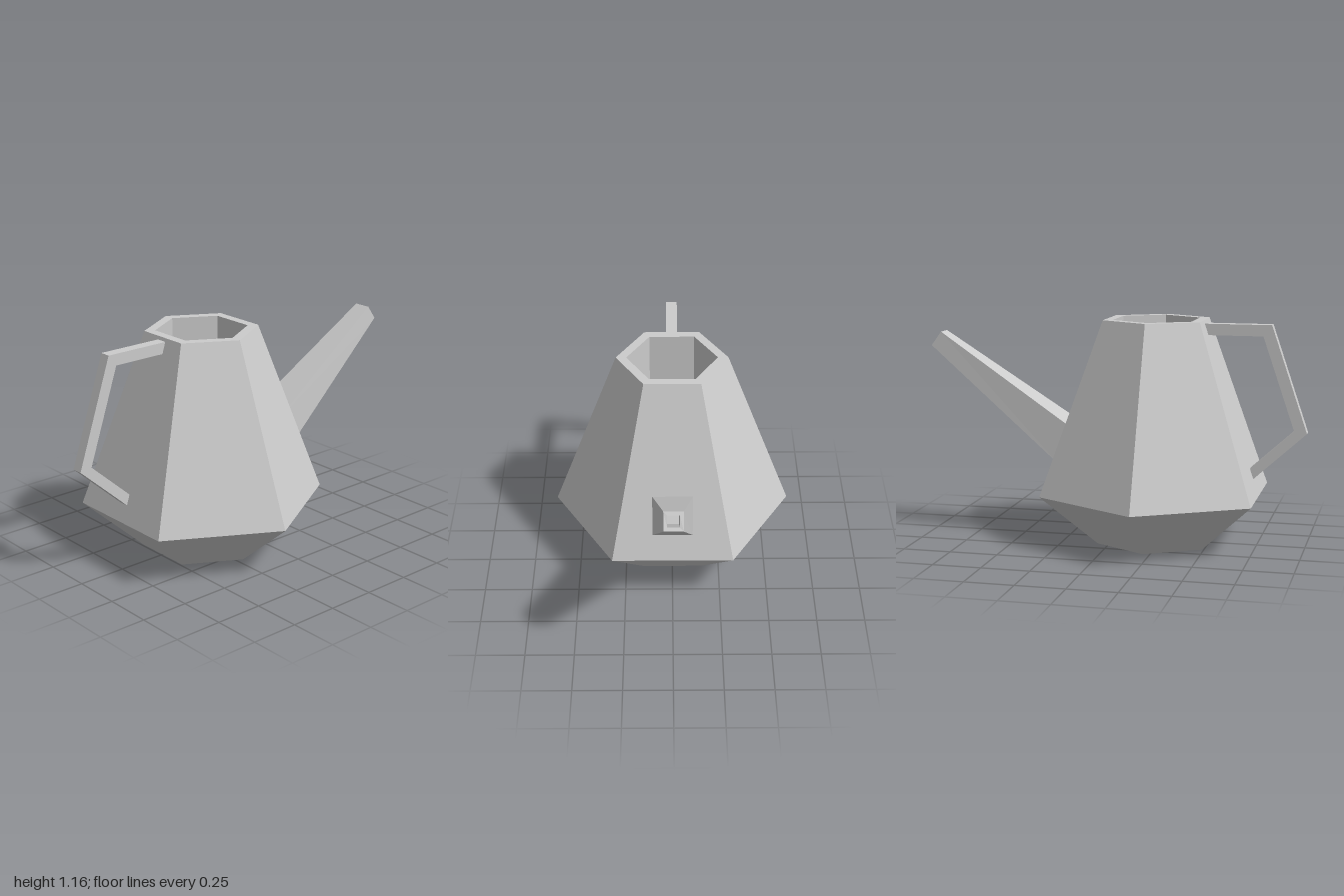
import * as THREE from 'three';

const material = new THREE.MeshStandardMaterial({ color: 0xcccccc, flatShading: true });

function part(name, geometry) {
  const mesh = new THREE.Mesh(geometry, material);
  mesh.name = name;
  return mesh;
}

// Rectangular cross-section across z, from a lower (x, y) to an upper (x, y)
function ring([xl, yl], [xu, yu], half) {
  return [[xl, yl, half], [xl, yl, -half], [xu, yu, -half], [xu, yu, half]];
}

// Joins successive four-cornered rings and closes the last one
function loft(rings) {
  const positions = [];
  const quad = (a, b, c, d) => positions.push(...a, ...b, ...c, ...a, ...c, ...d);
  for (let i = 0; i < rings.length - 1; i++) {
    for (let j = 0; j < 4; j++) {
      const k = (j + 1) % 4;
      quad(rings[i][j], rings[i][k], rings[i + 1][k], rings[i + 1][j]);
    }
  }
  quad(...rings[rings.length - 1]);
  const geometry = new THREE.BufferGeometry();
  geometry.setAttribute('position', new THREE.Float32BufferAttribute(positions, 3));
  geometry.computeVertexNormals();
  return geometry;
}

export function createModel() {
  const group = new THREE.Group();
  group.name = 'wateringCan';

  // Six-sided body with a rim and a straight-walled well
  const profile = [
    [0, 0], [0.317, 0], [0.629, 0.266], [0.289, 1.165],
    [0.235, 1.165], [0.235, 0.27], [0, 0.27],
  ].map(([r, y]) => new THREE.Vector2(r, y));
  const body = part('body', new THREE.LatheGeometry(profile, 6));
  body.position.x = -0.215;
  group.add(body);

  // Tapered spout with a square bore
  group.add(part('spout', loft([
    ring([0.284, 0.4], [0.22, 0.6], 0.104),
    ring([0.998, 1.002], [0.945, 1.075], 0.046),
    ring([0.986, 1.016], [0.956, 1.061], 0.029),
    ring([0.627, 0.747], [0.597, 0.792], 0.029),
  ])));

  // Angular handle, outer outline then inner outline
  const outline = [
    [-0.465, 1.148], [-0.813, 1.148], [-1, 0.6], [-0.728, 0.352],
    [-0.71, 0.405], [-0.935, 0.61], [-0.77, 1.09], [-0.475, 1.09],
  ].map(([x, y]) => new THREE.Vector2(x, y));
  const handle = new THREE.ExtrudeGeometry(new THREE.Shape(outline), { depth: 0.058, bevelEnabled: false });
  handle.translate(0, 0, -0.029);
  group.add(part('handle', handle));

  return group;
}
